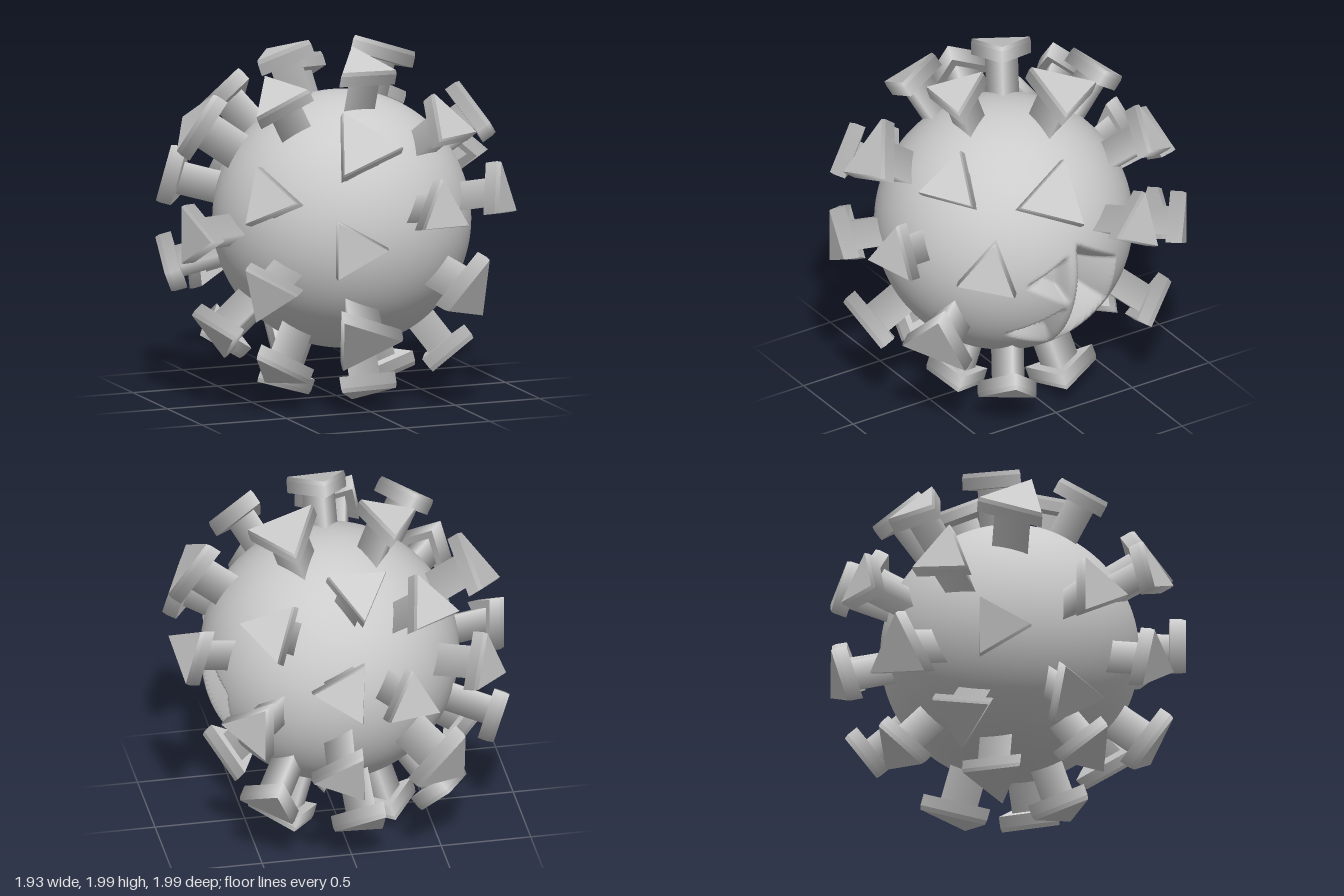
import * as THREE from 'three';
import { mergeVertices } from 'three/addons/utils/BufferGeometryUtils.js';

const V = (a) => new THREE.Vector3(...a);

// Spikes: outward direction, direction of one cap corner, width; "paired" ones repeat below the middle
const paired = [
  { dir: [0.02, 0.91, 0.34], corner: [0, 0, -1] },
  { dir: [-0.28, 0.91, -0.15], corner: [0, 0, -1] },
  { dir: [0.31, 0.91, -0.18], corner: [0, 0, -1], width: 1.18 },
  { dir: [-0.16, 0.55, 0.78], corner: [-0.07, 0.17, -0.13], width: 1.18 },
  { dir: [-0.67, 0.27, 0.64], corner: [0.17, -0.02, 0.18] },
  { dir: [0.48, 0.55, -0.64], corner: [0.13, 0, 0.1] },
  { dir: [0.11, 0.27, -0.93], corner: [0.15, 0.01, 0.01] },
  { dir: [-0.47, 0.75, 0.32], corner: [0, 0.07, -0.16] },
];
// These repeat half a turn round the vertical axis
const turned = [
  { dir: [0.27, 0.18, 0.93], corner: [0, 0.17, -0.03], width: 0.95 },
  { dir: [0.76, 0.18, 0.61], corner: [0, 0.15, -0.03] },
  { dir: [0.41, 0.61, 0.63], corner: [-0.08, 0.2, -0.14] },
  { dir: [0.49, -0.33, 0.78], corner: [0.08, 0.2, 0.03], width: 1.18 },
  { dir: [0.78, 0.56, 0.18], corner: [-0.13, -0.06, 0.95], width: 1.16 },
];
const single = [
  { dir: [-0.27, 0, 0.93], corner: [0.17, 0, 0.05] },
  { dir: [-0.93, 0, 0.23], corner: [0.05, 0, 0.19] },
  { dir: [0.6, 0, -0.75], corner: [0.17, 0, 0.13] },
  { dir: [0.88, 0.28, -0.3], corner: [0.05, 0, 0.17] },
  { dir: [-0.02, 0.74, -0.62], corner: [0, -0.13, -0.15] },
  { dir: [-0.06, -0.73, -0.65], corner: [0.17, 0, 0.02] },
  { dir: [0.5, -0.73, 0.3], corner: [0, -0.07, -0.16] },
  { dir: [-0.87, -0.27, -0.33], corner: [-0.06, 0, 0.17] },
  { dir: [-0.75, -0.57, 0.15], corner: [0, 0, 0.17] },
  { dir: [-0.54, -0.7, -0.43], corner: [0, 0.07, -0.16] },
];
const flip = ([x, y, z]) => [x, -y, z];
const turn = ([x, y, z]) => [-x, y, -z];
const copy = (list, move) => list.map((s) => ({ ...s, dir: move(s.dir), corner: move(s.corner) }));
const spikes = [...single, ...paired, ...copy(paired, flip), ...turned, ...copy(turned, turn)];

// Hollows in the +x side: convex outlines as [z, y] corners, with slope and depth
const hollows = [
  { outline: [[-0.03, 0.17], [-0.32, -0.02], [-0.3, -0.31], [-0.02, -0.57]], slope: 3, depth: 0.24 },
  { outline: [[0.28, -0.02], [0.03, 0.12], [0.01, -0.2]], slope: 1.8, depth: 0.09 },
  { outline: [[0.33, -0.37], [0.03, -0.22], [0.0, -0.54]], slope: 1.8, depth: 0.09 },
];

// Distance inside a convex outline (negative outside)
function insideDistance(outline, z, y) {
  const n = outline.length;
  const cz = outline.reduce((s, p) => s + p[0], 0) / n;
  const cy = outline.reduce((s, p) => s + p[1], 0) / n;
  let best = Infinity;
  outline.forEach(([az, ay], i) => {
    const [bz, by] = outline[(i + 1) % n];
    const side = (pz, py) => ((bz - az) * (py - ay) - (by - ay) * (pz - az)) / Math.hypot(bz - az, by - ay);
    best = Math.min(best, side(z, y) * Math.sign(side(cz, cy)));
  });
  return best;
}

// Ball with the hollows pressed in along the radius
function bodyGeometry() {
  let g = new THREE.IcosahedronGeometry(0.71, 50);
  g.deleteAttribute('normal');
  g.deleteAttribute('uv');
  g = mergeVertices(g);
  const pos = g.attributes.position;
  const p = new THREE.Vector3();
  for (let i = 0; i < pos.count; i++) {
    p.fromBufferAttribute(pos, i);
    if (p.x <= 0) continue;
    let press = 0;
    for (const h of hollows) {
      const d = insideDistance(h.outline, p.z, p.y);
      press = Math.max(press, Math.min(h.depth, d * h.slope));
    }
    p.setLength(0.71 - press);
    pos.setXYZ(i, p.x, p.y, p.z);
  }
  g.computeVertexNormals();
  return g;
}

export function createModel() {
  const model = new THREE.Group();
  model.name = 'spikedBall';
  const mat = new THREE.MeshStandardMaterial({ color: 0xcccccc });

  const body = new THREE.Mesh(bodyGeometry(), mat);
  body.name = 'body';
  body.position.set(0.02, 1, 0.03);
  model.add(body);

  // Three-sided stem and plate, built along +y with one corner towards +z
  const stemGeo = new THREE.CylinderGeometry(0.105, 0.105, 0.35, 3).translate(0, 0.735, 0);
  const rimGeo = new THREE.CylinderGeometry(0.19, 0.19, 0.065, 3).translate(0, 0.9275, 0);
  const faceGeo = new THREE.CylinderGeometry(0.183, 0.19, 0.025, 3).translate(0, 0.9725, 0);

  for (const { dir, corner, width = 1 } of spikes) {
    const up = V(dir).normalize();
    const out = V(corner).projectOnPlane(up).normalize();
    const side = new THREE.Vector3().crossVectors(up, out);
    const spike = new THREE.Group();
    spike.name = 'spike';
    spike.position.y = 1;
    spike.quaternion.setFromRotationMatrix(new THREE.Matrix4().makeBasis(side, up, out));
    spike.scale.set(width, 1, width);
    for (const [name, geo] of [['stem', stemGeo], ['capRim', rimGeo], ['capFace', faceGeo]]) {
      const mesh = new THREE.Mesh(geo, mat);
      mesh.name = name;
      spike.add(mesh);
    }
    model.add(spike);
  }
  return model;
}
